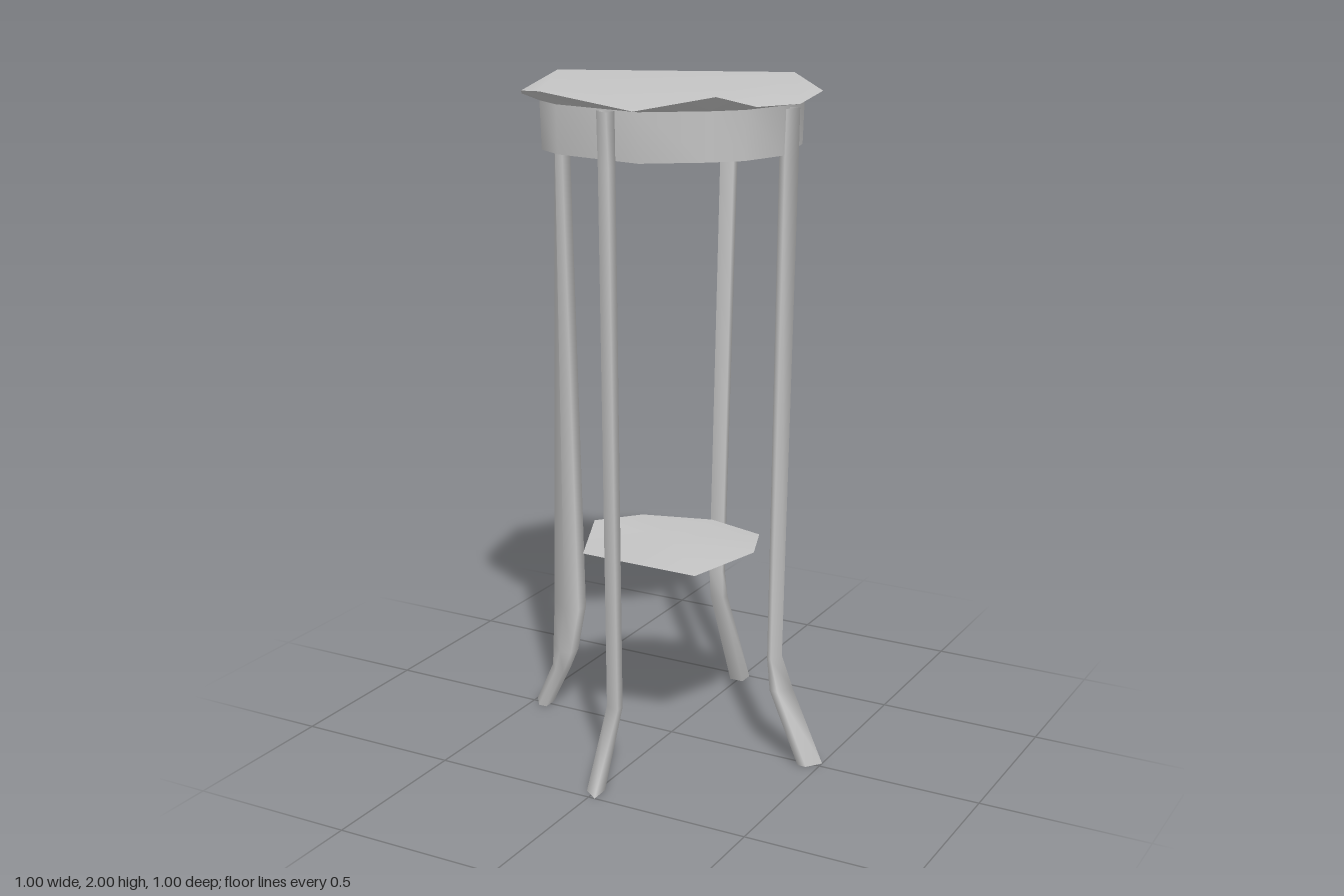
import * as THREE from 'three';

const grey = new THREE.MeshStandardMaterial({ color: 0xc4c4c4, side: THREE.DoubleSide });
grey.name = 'plain grey';

function meshFrom(name, points, index) {
  const g = new THREE.BufferGeometry();
  g.setAttribute('position', new THREE.Float32BufferAttribute(points.flat(), 3));
  g.setIndex(index);
  g.computeVertexNormals();
  const m = new THREE.Mesh(g, grey);
  m.name = name;
  return m;
}

// Skin through equal rings, listed from top to bottom, clockwise seen from above
function loft(name, rings) {
  const n = rings[0].length, index = [];
  for (let r = 0; r < rings.length - 1; r++) {
    for (let i = 0; i < n; i++) {
      const a = r * n + i, b = r * n + (i + 1) % n;
      index.push(a, b, a + n, b, b + n, a + n);
    }
  }
  return meshFrom(name, rings.flat(), index);
}

// Flat fan closing a ring; up decides which way it faces
function fan(name, ring, centre, up) {
  const n = ring.length, index = [];
  for (let i = 0; i < n; i++) {
    const j = (i + 1) % n;
    index.push(n, ...(up ? [j, i] : [i, j]));
  }
  return meshFrom(name, [...ring, centre], index);
}

// Leg rows are [height, inner radius, outer radius]
function leg(name, rows, sideways, flip) {
  const rings = rows.map(([y, ri, ro]) => {
    const ring = [[0.02, ro], [-0.025, ri + (ro - ri) * 0.45], [-0.025, ri], [0.02, ri]].map(([t, r]) => {
      const [x, z] = sideways ? [r, -t] : [t, r];
      return flip ? (sideways ? [-x, y, z] : [x, y, -z]) : [x, y, z];
    });
    return flip ? ring.reverse() : ring;
  });
  const group = new THREE.Group();
  group.name = name;
  const foot = rings[rings.length - 1];
  group.add(loft(name + 'Post', rings), meshFrom(name + 'Sole', foot, [0, 1, 2, 0, 2, 3]));
  return group;
}

export function createModel() {
  const model = new THREE.Group();
  model.name = 'stool';

  // Seat: faceted rim with a raised three-cornered plateau
  const rim = [
    [0, 1.96, -0.43], [0.21, 1.995, -0.365], [0.37, 1.965, -0.215], [0.425, 1.96, 0.055],
    [0.37, 1.965, 0.21], [0.29, 1.995, 0.29], [0.11, 1.96, 0.415], [-0.21, 1.99, 0.365],
    [-0.31, 1.98, 0.3], [-0.365, 1.96, 0.21], [-0.41, 2, -0.055], [-0.31, 1.957, -0.305],
  ];
  const faces = [[10, 1, 5], [1, 2, 3], [1, 3, 4], [1, 4, 5], [10, 5, 6], [10, 6, 7],
    [10, 7, 8], [10, 8, 9], [10, 11, 0], [10, 0, 1]];
  model.add(meshFrom('seatTop', rim, faces.flatMap(([a, b, c]) => [a, c, b])));

  // Underside lip, apron and bottom
  const scaled = (s, y) => rim.map(([x, , z]) => [x * s, y, z * s]);
  const upper = scaled(0.88, 1.952), lower = scaled(0.87, 1.815);
  model.add(loft('seatLip', [rim, upper]));
  model.add(loft('apron', [upper, lower]));
  model.add(fan('apronBottom', lower, [0, 1.815, 0], false));

  // Four splayed legs, one of them broad
  model.add(leg('frontLeg', [[1.95, 0.355, 0.4], [1.8, 0.352, 0.39], [0.22, 0.335, 0.365], [0, 0.44, 0.5]], false, false));
  model.add(leg('backLeg', [[1.94, 0.36, 0.395], [1.8, 0.355, 0.382], [0.43, 0.297, 0.315], [0.34, 0.305, 0.335], [0, 0.45, 0.5]], false, true));
  model.add(leg('leftLeg', [[1.94, 0.355, 0.39], [1.8, 0.35, 0.388], [0.32, 0.335, 0.362], [0.22, 0.345, 0.4], [0, 0.44, 0.5]], true, false));
  model.add(leg('rightLeg', [[1.94, 0.35, 0.39], [1.8, 0.35, 0.403], [0.35, 0.315, 0.43], [0.2, 0.345, 0.437], [0.13, 0.375, 0.44], [0, 0.44, 0.5]], true, true));

  // Thin warped shelf between the legs
  const shelf = [
    [0, 0.612, -0.265], [0.2, 0.62, -0.19], [0.275, 0.635, 0], [0.19, 0.615, 0.21],
    [-0.03, 0.645, 0.275], [-0.19, 0.615, 0.2], [-0.28, 0.638, -0.02], [-0.2, 0.622, -0.18],
  ];
  model.add(fan('shelf', shelf, [0, 0.635, 0], true));
  return model;
}
